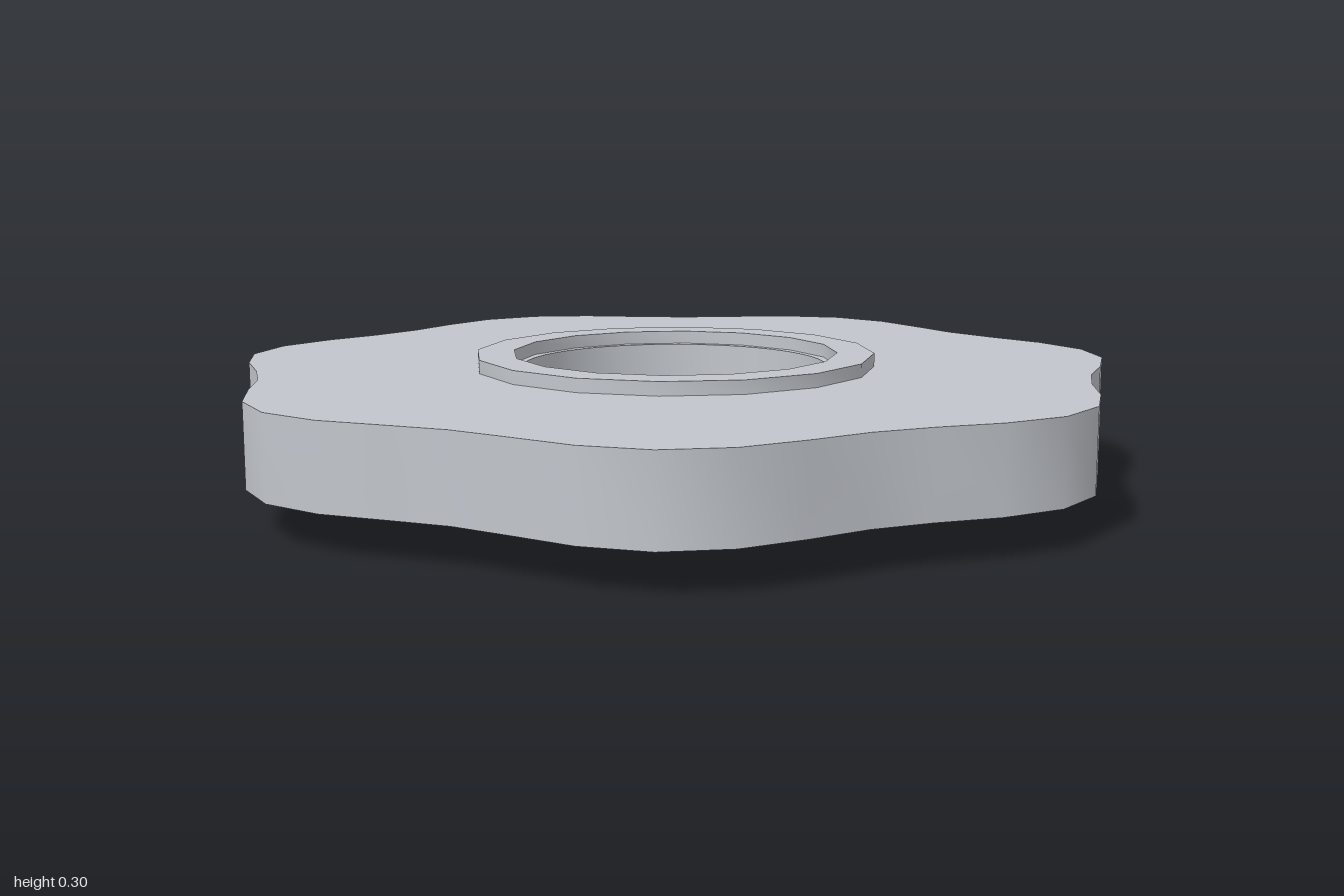
import * as THREE from 'three';
import { toCreasedNormals } from 'three/addons/utils/BufferGeometryUtils.js';

const steel = new THREE.MeshStandardMaterial({ color: 0xc2c6cc });
const dark = new THREE.MeshStandardMaterial({ color: 0x585858 });

// Closed anticlockwise loop of points, radius given as a function of angle
function loop(count, radiusAt) {
  return Array.from({ length: count }, (_, i) => {
    const a = (i / count) * Math.PI * 2;
    return new THREE.Vector2(-Math.sin(a), Math.cos(a)).multiplyScalar(radiusAt(a));
  });
}

// Flat slab with a central hole, lying between two heights
function slab(name, outer, hole, y0, y1) {
  const shape = new THREE.Shape(outer);
  shape.holes.push(new THREE.Path(hole));
  const geometry = new THREE.ExtrudeGeometry(shape, { depth: y1 - y0, bevelEnabled: false });
  geometry.rotateX(-Math.PI / 2).translate(0, y0, 0);
  const mesh = new THREE.Mesh(toCreasedNormals(geometry, 0.6), steel);
  mesh.name = name;
  return mesh;
}

export function createModel() {
  const flange = new THREE.Group();
  flange.name = 'lobedFlange';
  flange.position.z = 0.033;

  // Seven-lobed plate with a round bore
  flange.add(slab('lobedPlate',
    loop(44, a => 0.97 + 0.048 * Math.cos(7 * a)),
    loop(44, () => 0.345), 0.086, 0.266));

  // Raised collars above and below the plate
  flange.add(slab('topCollar', loop(16, () => 0.452), loop(16, () => 0.368), 0.266, 0.296));
  flange.add(slab('bottomCollar', loop(16, () => 0.47), loop(16, () => 0.362), 0, 0.086));

  // Two circles of hexagonal bolt heads on the underside
  const bolt = new THREE.CylinderGeometry(0.075, 0.075, 0.02, 6).toNonIndexed();
  bolt.rotateY(Math.PI / 2);
  bolt.computeVertexNormals();
  for (const [name, radius] of [['outerBolt', 0.82], ['innerBolt', 0.43]]) {
    for (let i = 0; i < 6; i++) {
      const a = (i * Math.PI) / 3;
      const mesh = new THREE.Mesh(bolt, dark);
      mesh.name = name;
      mesh.position.set(radius * Math.cos(a), 0.086, radius * Math.sin(a));
      flange.add(mesh);
    }
  }

  const model = new THREE.Group();
  model.name = 'model';
  model.add(flange);
  return model;
}
